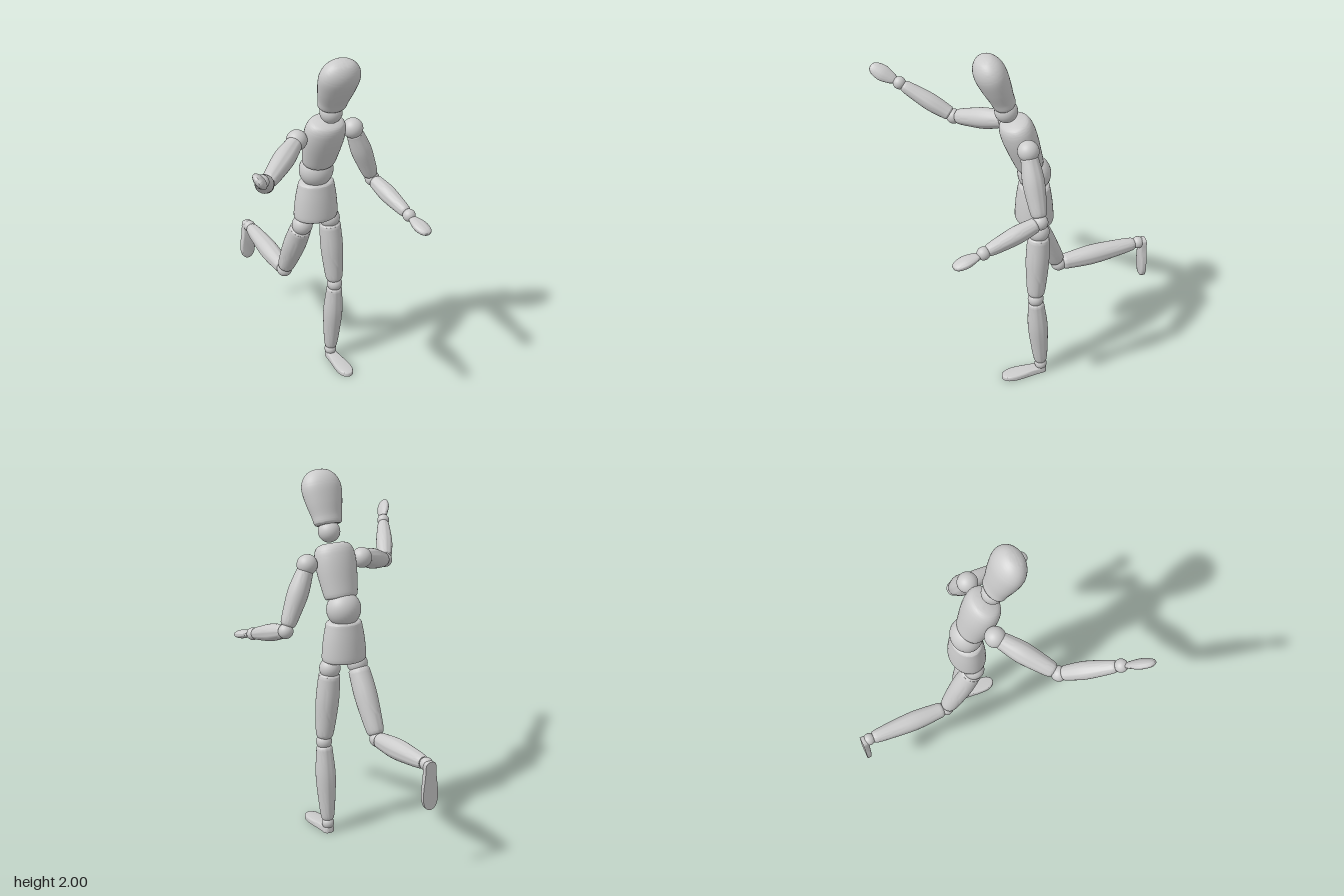
import * as THREE from 'three';
import { toCreasedNormals } from 'three/addons/utils/BufferGeometryUtils.js';

const V = (x, y, z) => new THREE.Vector3(x, y, z);
const UP = V(0, 1, 0);

export function createModel() {
  const model = new THREE.Group();
  const mat = new THREE.MeshStandardMaterial({ color: 0xcccccc });

  const add = (name, geometry, position) => {
    const mesh = new THREE.Mesh(geometry, mat);
    mesh.name = name;
    mesh.position.copy(position);
    model.add(mesh);
    return mesh;
  };

  const ball = (name, p, r) => add(name, new THREE.SphereGeometry(r, 32, 20), p);

  // Turned solid: profile is [radius, height] pairs, smoothed along its sides
  const turned = (profile) => {
    const side = new THREE.SplineCurve(profile.map(([r, y]) => new THREE.Vector2(r, y)));
    const pts = side.getPoints(profile.length * 5);
    pts.forEach((p) => { p.x = Math.max(p.x, 0); });
    const first = pts[0], last = pts[pts.length - 1];
    if (first.x > 0.001) pts.unshift(new THREE.Vector2(0, first.y));
    if (last.x > 0.001) pts.push(new THREE.Vector2(0, last.y));
    return toCreasedNormals(new THREE.LatheGeometry(pts, 36), 0.7);
  };

  // Body block: leaning forward by tilt, flattened front to back
  const block = (name, p, profile, tilt, depth) => {
    const mesh = add(name, turned(profile), p);
    mesh.rotation.x = tilt;
    mesh.scale.z = depth;
  };

  // Limb segment between two joints, leaving a gap for the ball at each end
  const limb = (name, a, b, gap, r0, rMid, r1) => {
    const dir = b.clone().sub(a);
    const len = dir.length() - 2 * gap;
    dir.normalize();
    const mesh = add(name, turned([
      [r0 * 0.78, 0], [r0 * 0.95, len * 0.025], [r0, len * 0.07], [rMid, len * 0.4],
      [(rMid + r1) / 2, len * 0.75], [r1, len * 0.95], [r1 * 0.8, len],
    ]), a.clone().addScaledVector(dir, gap));
    mesh.quaternion.setFromUnitVectors(UP, dir);
  };

  // Flat paddle hand, thin along the given normal
  const hand = (name, wrist, tip, normal) => {
    const dir = tip.clone().sub(wrist);
    const len = dir.length() - 0.02;
    dir.normalize();
    const across = dir.clone().cross(normal).normalize();
    const thin = across.clone().cross(dir);
    const mesh = add(name, turned([
      [0.018, 0], [0.03, len * 0.15], [0.043, len * 0.45], [0.043, len * 0.65],
      [0.034, len * 0.86], [0.018, len * 0.97], [0, len],
    ]), wrist.clone().addScaledVector(dir, 0.02));
    mesh.scale.z = 0.55;
    mesh.quaternion.setFromRotationMatrix(new THREE.Matrix4().makeBasis(across, dir, thin));
  };

  // Foot: rounded sole outline, toe toward +z, top sloping down to the toe
  const footShape = new THREE.Shape();
  footShape.moveTo(0, -0.025);
  footShape.bezierCurveTo(0.03, -0.025, 0.032, -0.01, 0.032, 0.02);
  footShape.bezierCurveTo(0.034, 0.08, 0.045, 0.11, 0.045, 0.165);
  footShape.bezierCurveTo(0.045, 0.215, 0.025, 0.24, 0, 0.24);
  footShape.bezierCurveTo(-0.025, 0.24, -0.045, 0.215, -0.045, 0.165);
  footShape.bezierCurveTo(-0.045, 0.11, -0.034, 0.08, -0.032, 0.02);
  footShape.bezierCurveTo(-0.032, -0.01, -0.03, -0.025, 0, -0.025);
  const footGeo = new THREE.ExtrudeGeometry(footShape, {
    depth: 0.02, bevelThickness: 0.012, bevelSize: 0.01, bevelOffset: -0.01,
    bevelSegments: 4, curveSegments: 12,
  });
  footGeo.rotateX(Math.PI / 2).translate(0, 0.02, 0);
  const pos = footGeo.attributes.position;
  for (let i = 0; i < pos.count; i++) {
    const y = pos.getY(i), z = pos.getZ(i);
    pos.setY(i, y <= 0 ? 0 : y * (1.15 - 1.6 * Math.max(z, 0)));
  }
  const foot = (name, p) => add(name, toCreasedNormals(footGeo, 0.6), p);

  // Head, neck, chest, waist and pelvis
  const cx = 0.135;
  block('head', V(cx, 1.715, 0.165), [
    [0.068, 0], [0.081, 0.012], [0.087, 0.05], [0.104, 0.12], [0.114, 0.19],
    [0.107, 0.235], [0.085, 0.27], [0.05, 0.294], [0, 0.303],
  ], 0.38, 0.72);
  ball('neck', V(cx, 1.68, 0.16), 0.06);
  block('chest', V(cx, 1.34, 0.033), [
    [0.084, 0], [0.095, 0.015], [0.104, 0.07], [0.114, 0.15], [0.116, 0.21],
    [0.11, 0.255], [0.093, 0.283], [0.065, 0.295],
  ], 0.31, 0.78);
  ball('waist', V(cx, 1.285, 0.01), 0.096).scale.z = 0.92;
  block('pelvis', V(cx, 1.0, 0.01), [
    [0.115, 0], [0.126, 0.012], [0.125, 0.06], [0.117, 0.13], [0.105, 0.195],
    [0.1, 0.213], [0.09, 0.22],
  ], 0, 0.8);

  // Arms: shoulder, elbow, wrist, fingertip and the direction the palm is thin in
  const arms = {
    left: [V(0.304, 1.53, 0.1), V(0.447, 1.19, 0.085), V(0.49, 1.1, 0.4), V(0.51, 1.06, 0.565), V(0, 1, 0)],
    right: [V(-0.03, 1.53, 0.095), V(-0.318, 1.438, 0.315), V(-0.465, 1.61, 0.57), V(-0.548, 1.695, 0.705), V(0.86, 0, -0.51)],
  };
  for (const [side, [shoulder, elbow, wrist, tip, normal]] of Object.entries(arms)) {
    ball(side + 'Shoulder', shoulder, 0.056);
    limb(side + 'UpperArm', shoulder, elbow, 0.03, 0.047, 0.057, 0.042);
    ball(side + 'Elbow', elbow, 0.041);
    limb(side + 'Forearm', elbow, wrist, 0.024, 0.04, 0.047, 0.033);
    ball(side + 'Wrist', wrist, 0.035);
    hand(side + 'Hand', wrist, tip, normal);
  }

  // Legs: hip, knee and ankle; the right one is bent back
  const legs = {
    left: [V(0.222, 0.965, 0.013), V(0.25, 0.535, 0.038), V(0.25, 0.052, 0.005)],
    right: [V(0.05, 0.965, 0.013), V(0.035, 0.577, -0.175), V(0.044, 0.615, -0.66)],
  };
  for (const [side, [hip, knee, ankle]] of Object.entries(legs)) {
    ball(side + 'Hip', hip, 0.058);
    limb(side + 'Thigh', hip, knee, 0.028, 0.06, 0.064, 0.048);
    ball(side + 'Knee', knee, 0.044);
    limb(side + 'Shin', knee, ankle, 0.024, 0.046, 0.056, 0.038);
    ball(side + 'Ankle', ankle, 0.035);
  }
  foot('leftFoot', V(0.25, 0, 0));
  foot('rightFoot', V(0.044, 0.615, -0.705)).rotation.x = Math.PI / 2;

  return model;
}
